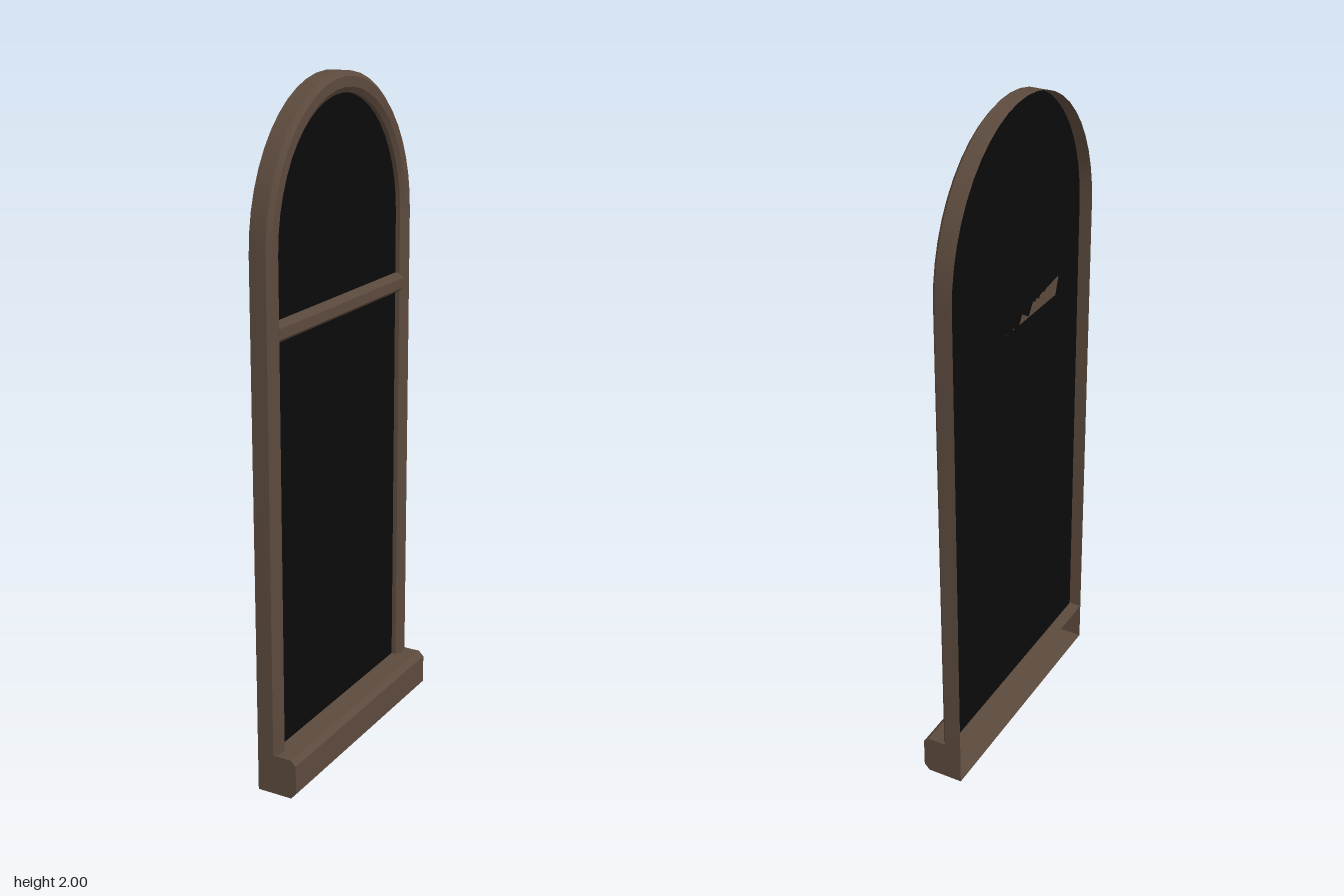
import * as THREE from 'three';
import { toCreasedNormals } from 'three/addons/utils/BufferGeometryUtils.js';

const HALF = 0.403, RISE = 0.44, SPRING = 1.56, BACK = -0.063;
const SILL_TOP = 0.122, GLASS_X = -0.024, ARCH_STEPS = 24;

// Outline as [z, y] pairs, inset by d from the outer edge
function outline(d) {
  const pts = [[HALF - d, SILL_TOP - 0.004]];
  for (let i = 0; i <= ARCH_STEPS; i++) {
    const a = (i / ARCH_STEPS) * Math.PI;
    pts.push([(HALF - d) * Math.cos(a), SPRING + (RISE - d) * Math.sin(a)]);
  }
  pts.push([-(HALF - d), SILL_TOP - 0.004]);
  return pts;
}

// Open skin through a list of equal-length rows of points
function skin(rows) {
  const n = rows[0].length, index = [];
  for (let i = 0; i < rows.length - 1; i++) {
    for (let j = 0; j < n - 1; j++) {
      const p = i * n + j, q = p + n;
      index.push(p, p + 1, q, p + 1, q + 1, q);
    }
  }
  const geo = new THREE.BufferGeometry();
  geo.setAttribute('position', new THREE.Float32BufferAttribute(rows.flat(2), 3));
  geo.setIndex(index);
  return toCreasedNormals(geo, 0.4);
}

const toShape = (pts) => new THREE.Shape(pts.map(([a, b]) => new THREE.Vector2(a, b)));

export function createModel() {
  const model = new THREE.Group();
  const wood = new THREE.MeshStandardMaterial({ color: 0x5c4a3d, side: THREE.DoubleSide });
  wood.name = 'brown wood';
  const dark = new THREE.MeshStandardMaterial({ color: 0x0a0a0a, side: THREE.DoubleSide });
  dark.name = 'dark glass';

  const add = (name, geo, mat, parent = model) => {
    const mesh = new THREE.Mesh(geo, mat);
    mesh.name = name;
    parent.add(mesh);
    return mesh;
  };

  // Arched frame: bevelled moulding, open at the back, as [inset, x]
  const moulding = [[0, BACK], [0, -0.012], [0.014, 0], [0.043, 0], [0.058, -0.01], [0.058, GLASS_X]];
  const loops = moulding.map(([d, x]) => outline(d).map(([z, y]) => [x, y, z]));
  add('archedFrame', skin(loops[0].map((_, i) => loops.map((loop) => loop[i]))), wood);

  // Glass pane filling the frame, facing +x
  const pane = new THREE.ShapeGeometry(toShape(outline(0.001)));
  pane.rotateY(Math.PI / 2);
  pane.translate(GLASS_X, 0, 0);
  add('glassPane', pane, dark);

  // Transom bar across the window
  const bar = new THREE.ExtrudeGeometry(
    toShape([[GLASS_X, 1.322], [-0.012, 1.322], [-0.002, 1.332], [-0.002, 1.362], [-0.012, 1.378], [GLASS_X, 1.378]]),
    { depth: 0.71, bevelEnabled: false });
  bar.translate(0, 0, -0.355);
  add('transom', bar, wood);

  // Hollow sill with chamfered front edges and closed ends
  const sill = new THREE.Group();
  sill.name = 'sill';
  model.add(sill);
  const profile = [[BACK, 0], [0.046, 0], [0.062, 0.018], [0.062, 0.106], [0.046, SILL_TOP], [BACK, SILL_TOP]];
  add('sillBody', skin([-HALF, HALF].map((z) => profile.map(([x, y]) => [x, y, z]))), wood, sill);
  for (const side of [1, -1]) {
    const end = add(side > 0 ? 'sillEndFront' : 'sillEndBack', new THREE.ShapeGeometry(toShape(profile)), wood, sill);
    end.position.z = side * HALF;
  }

  return model;
}
